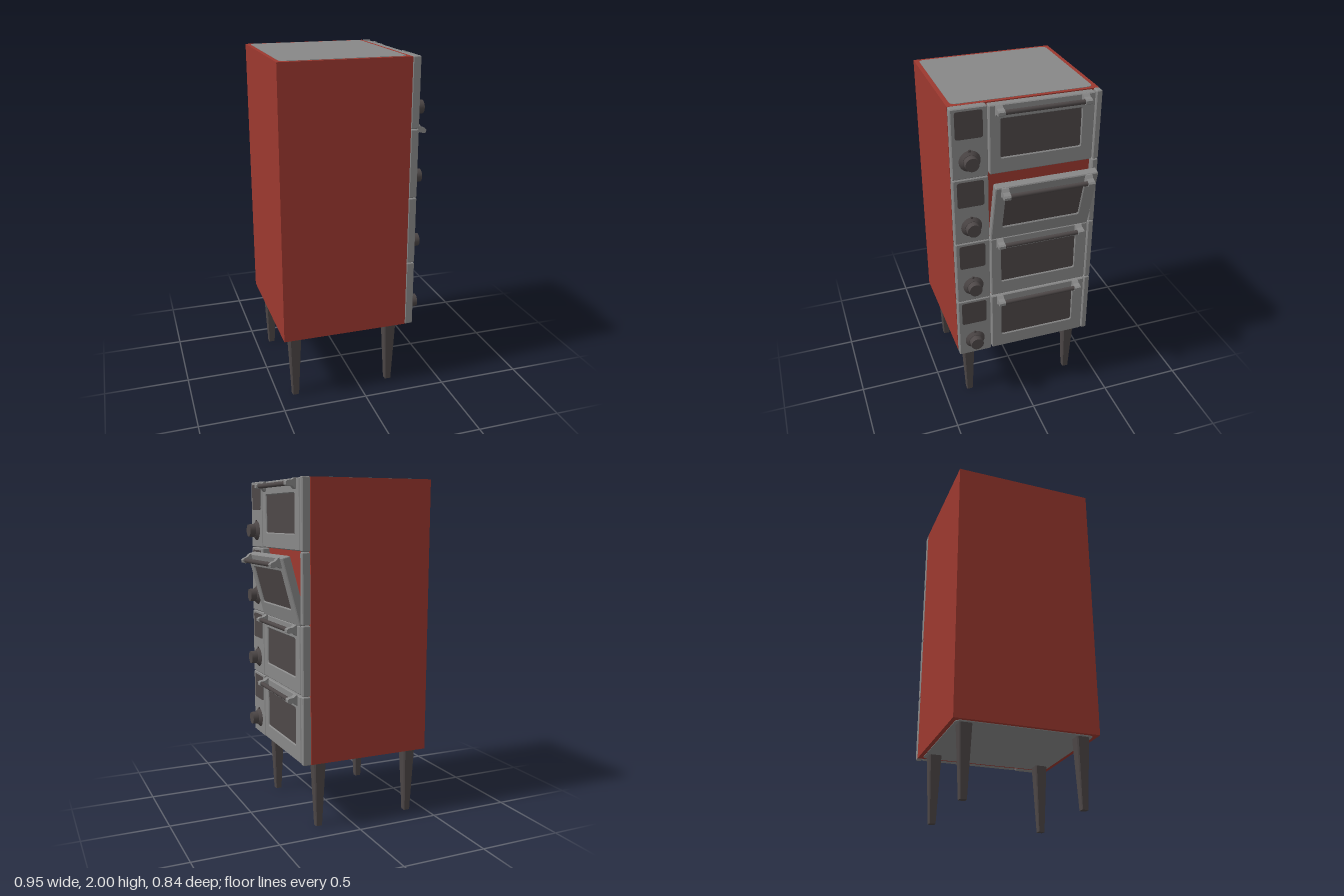
import * as THREE from 'three';

const red = new THREE.MeshStandardMaterial({ name: 'red enamel', color: 0x9c382f });
const steel = new THREE.MeshStandardMaterial({ name: 'grey steel', color: 0x888888 });
const dark = new THREE.MeshStandardMaterial({ name: 'dark trim', color: 0x4d4747 });

function add(parent, name, geometry, material, x = 0, y = 0, z = 0) {
  const mesh = new THREE.Mesh(geometry, material);
  mesh.name = name;
  mesh.position.set(x, y, z);
  parent.add(mesh);
  return mesh;
}

// Rounded rectangle given by its edges
function roundRect(x0, x1, y0, y1, r, Type = THREE.Shape) {
  const s = new Type();
  s.moveTo(x0 + r, y0);
  s.lineTo(x1 - r, y0); s.quadraticCurveTo(x1, y0, x1, y0 + r);
  s.lineTo(x1, y1 - r); s.quadraticCurveTo(x1, y1, x1 - r, y1);
  s.lineTo(x0 + r, y1); s.quadraticCurveTo(x0, y1, x0, y1 - r);
  s.lineTo(x0, y0 + r); s.quadraticCurveTo(x0, y0, x0 + r, y0);
  return s;
}

// Slab with softly bevelled edges, back at z = 0, optionally with an opening
function slab(x0, x1, y0, y1, depth, hole) {
  const b = 0.005;
  const s = roundRect(x0 + b, x1 - b, y0 + b, y1 - b, 0.003);
  if (hole) s.holes.push(hole);
  const g = new THREE.ExtrudeGeometry(s, {
    depth: depth - 2 * b, bevelEnabled: true, bevelSize: b, bevelThickness: b, bevelSegments: 1, curveSegments: 4,
  });
  return g.translate(0, 0, b);
}

function plate(x0, x1, y0, y1, r, depth) {
  return new THREE.ExtrudeGeometry(roundRect(x0, x1, y0, y1, r), { depth, bevelEnabled: false, curveSegments: 6 });
}

// Tapered leg with chamfered corners
function legGeometry() {
  const w = 0.037, c = 0.008;
  const s = new THREE.Shape([
    [-w + c, -w], [w - c, -w], [w, -w + c], [w, w - c],
    [w - c, w], [-w + c, w], [-w, w - c], [-w, -w + c],
  ].map(([x, y]) => new THREE.Vector2(x, y)));
  const g = new THREE.ExtrudeGeometry(s, { depth: 0.4, bevelEnabled: false }).rotateX(-Math.PI / 2);
  const p = g.attributes.position;
  for (let i = 0; i < p.count; i++) {
    const k = 0.52 + 0.48 * p.getY(i) / 0.4;
    p.setXYZ(i, p.getX(i) * k, p.getY(i), p.getZ(i) * k);
  }
  g.computeVertexNormals();
  return g;
}

// Door hinged along its bottom back edge
function createDoor(angle) {
  const door = new THREE.Group();
  door.name = 'ovenDoor';
  door.rotation.x = angle;
  const hole = roundRect(-0.155, 0.31, 0.09, 0.32, 0.015, THREE.Path);
  add(door, 'doorFrame', slab(-0.212, 0.378, 0.004, 0.394, 0.048, hole), steel);
  add(door, 'doorWindow', new THREE.BoxGeometry(0.475, 0.24, 0.026), dark, 0.0775, 0.205, 0.027);

  // Handle brackets flare where they meet the door
  const profile = new THREE.Shape([
    [0, -0.03], [0.006, -0.03], [0.022, -0.014], [0.05, -0.015], [0.06, -0.008],
    [0.06, 0.008], [0.05, 0.015], [0.025, 0.018], [0.008, 0.03], [0, 0.03],
  ].map(([x, y]) => new THREE.Vector2(x, y)));
  for (const x of [-0.161, 0.318]) {
    const g = new THREE.ExtrudeGeometry(profile, { depth: 0.038, bevelEnabled: false });
    g.translate(0, 0, -0.019).rotateY(-Math.PI / 2);
    add(door, 'handleBracket', g, steel, x, 0.365, 0.047);
  }
  const bar = new THREE.CylinderGeometry(0.013, 0.013, 0.48, 16).rotateZ(Math.PI / 2);
  add(door, 'handleBar', bar, dark, 0.0785, 0.365, 0.088);
  return door;
}

function createKnob() {
  const knob = new THREE.Group();
  knob.name = 'knob';
  const cyl = (top, bottom, h) => new THREE.CylinderGeometry(top, bottom, h, 28).rotateX(Math.PI / 2);
  add(knob, 'knobSkirt', cyl(0.042, 0.06, 0.018), dark, 0, 0, 0.011);
  add(knob, 'knobGrip', cyl(0.038, 0.04, 0.04), dark, 0, 0, 0.036);
  add(knob, 'knobPointer', new THREE.BoxGeometry(0.012, 0.02, 0.008), dark, 0, 0.055, 0.005);
  return knob;
}

export function createModel() {
  const model = new THREE.Group();
  model.name = 'deckOven';

  // Cabinet with inset top and bottom plates
  add(model, 'cabinet', new THREE.BoxGeometry(0.745, 1.594, 0.836), red, -0.0995, 1.2, 0);
  for (const [name, y] of [['topPlate', 1.995], ['bottomPlate', 0.4]]) {
    add(model, name, plate(-0.45, 0.252, -0.393, 0.393, 0.035, 0.004).rotateX(-Math.PI / 2), steel, 0, y, 0);
  }

  // Legs
  const leg = legGeometry();
  for (const x of [-0.395, 0.197]) {
    for (const z of [-0.336, 0.336]) add(model, 'leg', leg, dark, x, 0, z);
  }

  // Oven fronts, built facing +z and turned to face +x
  const fronts = new THREE.Group();
  fronts.name = 'ovenFronts';
  fronts.rotation.y = Math.PI / 2;
  model.add(fronts);
  for (let i = 0; i < 4; i++) {
    const deck = new THREE.Group();
    deck.name = 'ovenDeck';
    deck.position.set(0, 0.4 + i * 0.4, 0.274);
    fronts.add(deck);
    add(deck, 'controlPanel', slab(-0.418, -0.22, 0.001, 0.399, 0.048), steel);
    add(deck, 'sideStrip', slab(0.384, 0.418, 0.001, 0.399, 0.048), steel);
    add(deck, 'displayPanel', plate(-0.396, -0.246, 0.23, 0.383, 0.015, 0.003), dark, 0, 0, 0.047);
    const knob = createKnob();
    knob.position.set(-0.321, 0.104, 0.047);
    deck.add(knob);
    deck.add(createDoor(i === 2 ? THREE.MathUtils.degToRad(15) : 0));
  }
  return model;
}
